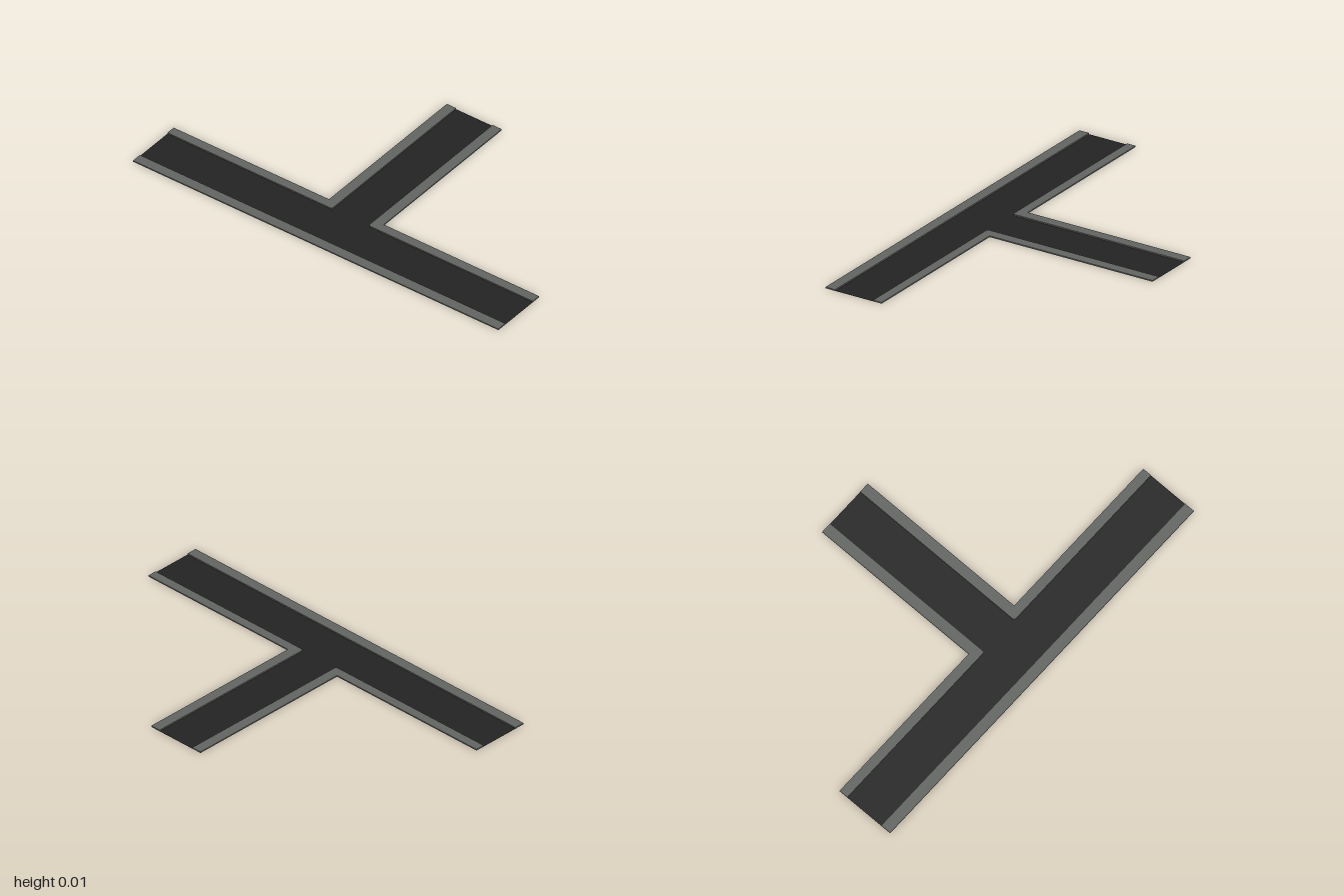
import * as THREE from 'three';

const KERB = 0.006;            // pavement height
const WEST = -0.575, EAST = 0.575, END = 1;
const ROAD_L = -0.525, ROAD_R = -0.325, PAVE_R = -0.28;
const LANE = 0.1, PAVE_Z = 0.15, ROUND = 0.012;

// Shapes are drawn in plan: shape x = model x, shape y = model z
function slab(shape, material, name) {
  const geometry = new THREE.ExtrudeGeometry(shape, { depth: KERB, bevelEnabled: false, curveSegments: 4 });
  geometry.rotateX(Math.PI / 2).translate(0, KERB, 0);
  const mesh = new THREE.Mesh(geometry, material);
  mesh.name = name;
  return mesh;
}

function polygon(points) {
  return new THREE.Shape(points.map(([x, z]) => new THREE.Vector2(x, z)));
}

// L-shaped pavement with a rounded kerb corner, on side s of the branch road
function cornerShape(s) {
  const shape = new THREE.Shape();
  shape.moveTo(ROAD_R, s * END);
  shape.lineTo(ROAD_R, s * (LANE + ROUND));
  shape.quadraticCurveTo(ROAD_R, s * LANE, ROAD_R + ROUND, s * LANE);
  shape.lineTo(EAST, s * LANE);
  shape.lineTo(EAST, s * PAVE_Z);
  shape.lineTo(PAVE_R, s * PAVE_Z);
  shape.lineTo(PAVE_R, s * END);
  shape.closePath();
  return shape;
}

export function createModel() {
  const group = new THREE.Group();
  group.name = 'roadJunction';
  const asphalt = new THREE.MeshStandardMaterial({ color: 0x232323, side: THREE.DoubleSide });
  asphalt.name = 'asphalt';
  const concrete = new THREE.MeshStandardMaterial({ color: 0x636562 });
  concrete.name = 'concrete';

  // Flat T-shaped road surface, widened a touch at the rounded corners
  const r = ROUND;
  const roadShape = polygon([
    [ROAD_L, -END], [ROAD_R, -END], [ROAD_R, -LANE - r], [ROAD_R + r, -LANE], [EAST, -LANE],
    [EAST, LANE], [ROAD_R + r, LANE], [ROAD_R, LANE + r], [ROAD_R, END], [ROAD_L, END],
  ]);
  const road = new THREE.Mesh(new THREE.ShapeGeometry(roadShape).rotateX(-Math.PI / 2), asphalt);
  road.name = 'roadSurface';
  group.add(road);

  // Straight pavement along the far side
  const strip = polygon([[WEST, -END], [ROAD_L, -END], [ROAD_L, END], [WEST, END]]);
  group.add(slab(strip, concrete, 'straightPavement'));

  // Corner pavements either side of the branch
  group.add(slab(cornerShape(1), concrete, 'frontCornerPavement'));
  group.add(slab(cornerShape(-1), concrete, 'backCornerPavement'));

  return group;
}
